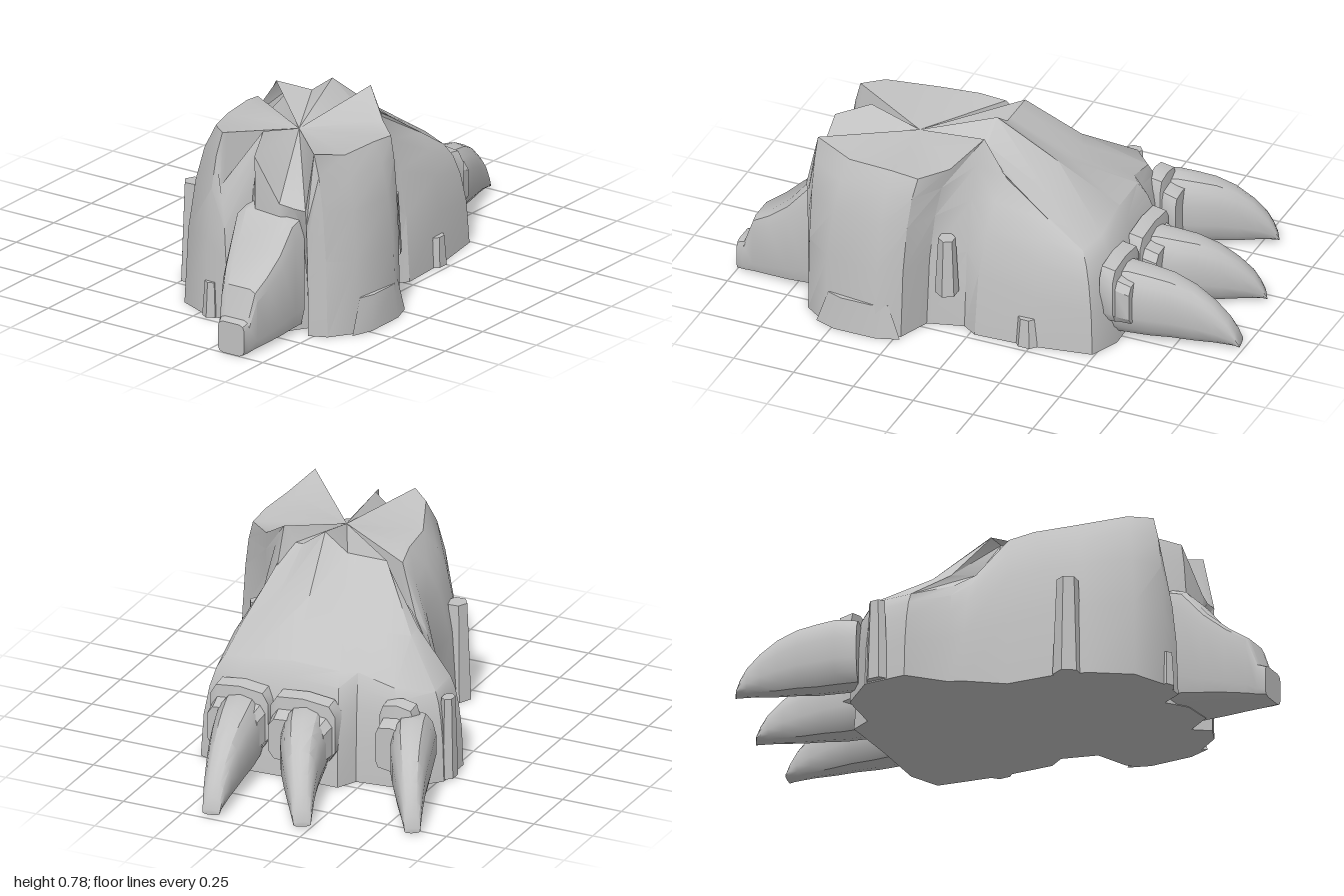
import * as THREE from 'three';
import { toCreasedNormals } from 'three/addons/utils/BufferGeometryUtils.js';

const V = (x, y, z) => new THREE.Vector3(x, y, z);

// Skin a list of equal-length rings and close both ends with fans
function loft(rings, endCentre, crease = 0.6) {
  const n = rings[0].length, pos = [];
  const tri = (...p) => p.forEach(v => pos.push(v.x, v.y, v.z));
  const middle = r => r.reduce((s, p) => s.add(p), V(0, 0, 0)).divideScalar(n);
  const first = rings[0], last = rings[rings.length - 1];
  const c0 = middle(first), c1 = endCentre || middle(last);
  for (let i = 0; i < n; i++) {
    const j = (i + 1) % n;
    for (let k = 0; k < rings.length - 1; k++) {
      const a = rings[k], b = rings[k + 1];
      tri(a[i], a[j], b[j]);
      tri(a[i], b[j], b[i]);
    }
    tri(first[j], first[i], c0);
    tri(last[i], last[j], c1);
  }
  const g = new THREE.BufferGeometry();
  g.setAttribute('position', new THREE.Float32BufferAttribute(pos, 3));
  return toCreasedNormals(g, crease);
}

// Ring of a section standing upright across the travel direction d
function section(c, d, halfWidth, bottom, top, sides = 12, power = 1) {
  const round = v => Math.sign(v) * Math.abs(v) ** power;
  return Array.from({ length: sides }, (_, i) => {
    const a = (i + 0.5) / sides * Math.PI * 2;
    const s = round(Math.cos(a)) * halfWidth;
    const y = (top + bottom) / 2 + round(Math.sin(a)) * (top - bottom) / 2;
    return V(c.x + d.z * s, y, c.z - d.x * s);
  });
}

export function createModel() {
  const foot = new THREE.Group();
  foot.name = 'clawedFoot';
  const hide = new THREE.MeshStandardMaterial({ color: 0xc2c2c2 });
  hide.name = 'grey';
  const add = (name, geo, parent = foot) => {
    const m = new THREE.Mesh(geo, hide);
    m.name = name;
    parent.add(m);
    return m;
  };

  // Sole outline (x, z), from the front round by the left side
  const sole = [
    [.03, .71], [.13, .71], [.17, .63], [.25, .69], [.37, .70], [.435, .60], [.48, .67], [.55, .64], [.62, .54],
    [.645, .32], [.60, .23], [.47, .18], [.43, .04], [.47, -.02], [.46, -.25], [.42, -.49],
    [.3, -.54], [.06, -.53], [-.18, -.53], [-.22, -.45], [-.40, -.43], [-.52, -.3], [-.52, -.13],
    [-.39, -.01], [-.37, .04], [-.265, .18], [-.25, .36], [-.21, .5], [-.11, .65],
  ];
  // Matching rim of the walls (x, y, z)
  const rim = [
    [.06, .73, .64], [.07, .52, .67], [.18, .73, .54], [.23, .68, .67], [.36, .52, .69], [.42, .51, .68],
    [.475, .51, .68], [.48, .73, .63], [.52, .69, .48], [.53, .69, .30], [.53, .68, .19], [.43, .69, .10],
    [.31, .78, .01], [.30, .62, -.08], [.34, .50, -.28], [.35, .41, -.42],
    [.24, .43, -.45], [.05, .45, -.44], [-.14, .44, -.43], [-.2, .43, -.39], [-.35, .39, -.38],
    [-.475, .36, -.28], [-.465, .365, -.13], [-.31, .44, -.03], [-.24, .50, .03],
    [-.14, .67, .12], [-.12, .69, .22], [-.10, .69, .38], [-.02, .72, .57],
  ];
  const centre = V(.2, .68, .33);
  // Steep walls: x and z move from sole to rim by t, y rises by u
  const wall = (t, u) => sole.map(([x, z], i) => {
    const [rx, ry, rz] = rim[i];
    return V(x + (rx - x) * t, ry * u, z + (rz - z) * t);
  });
  // Instep slopes up to a broken edge; elsewhere the rim turns inward
  const crest = rim.map(([x, y, z]) => z < 0
    ? V(x * .5 + .12, Math.abs(x) < .1 ? .78 : .71, .03)
    : V(x, y, z).lerp(centre, .12));
  const instep = rim.map(([x, y, z], i) => {
    const p = V(x, y, z).lerp(crest[i], .5);
    if (z < 0 && x < -.1) p.y -= .04;
    return p;
  });
  add('footBody', loft(
    [wall(0, 0), wall(.12, .42), wall(.36, .7), wall(.64, .88), wall(1, 1), instep, crest], centre));

  // Short spur below the heel
  const ahead = V(0, 0, 1);
  add('heelSpur', loft([
    [.30, .64, .145, .49], [.30, .70, .145, .47], [.312, .78, .13, .37], [.325, .86, .108, .3],
    [.342, .93, .083, .255], [.347, .97, .07, .14], [.352, 1, .062, .13],
  ].map(([x, z, w, h]) => section(V(x, 0, z), ahead, w, 0, h, 12, .36))));

  // Three hooked claws: distance along, width scale, underside, top
  const clawProfile = [
    [0, 1, .03, .31], [.2, 1, .025, .32], [.36, .94, .02, .305], [.52, .83, .02, .285],
    [.68, .69, .015, .245], [.82, .56, .015, .185], [.92, .46, .012, .125], [.97, .4, .01, .075], [1, .36, .01, .03],
  ];
  // Path points (x, z), half width, then middle and half width of the fold
  [
    ['outerClaw', [-.43, -.37], [-.5, -.58], [-.63, -.8], .085, -.39, -.43, .075],
    ['middleClaw', [-.03, -.46], [-.08, -.68], [-.225, -.93], .095, -.04, -.53, .14],
    ['innerClaw', [.24, -.47], [.19, -.7], [.135, -.985], .095, .23, -.53, .125],
  ].forEach(([name, a, b, c, w, foldX, foldZ, foldW]) => {
    const group = new THREE.Group();
    group.name = name;
    foot.add(group);
    const path = new THREE.QuadraticBezierCurve3(...[a, b, c].map(([x, z]) => V(x, 0, z)));
    add('claw', loft(clawProfile.map(([t, s, lo, hi]) =>
      section(path.getPoint(t), path.getTangent(t), w * s, lo, hi, 14, .8))), group);
    // Stepped fold of hide round the root of the claw
    add('clawFold', loft([[.04, 1, .36], [-.015, 1, .35], [-.02, .92, .3], [-.075, .86, .28]].map(([o, s, hi]) =>
      section(V(foldX, 0, foldZ + o), V(0, 0, -1), foldW * s, .1, hi, 10, .45))), group);
  });

  // Knobs and ledges on the walls: x, y, z, width, height, depth, turn
  [
    [.62, .07, .4, .06, .14, .3, 0], [.455, .06, -.23, .05, .12, .08, 0],
    [.46, .28, .1, .09, .24, .08, .5], [-.515, .17, -.25, .06, .33, .08, 0],
    [-.225, .2, .42, .1, .4, .1, .6], [.05, .07, .70, .06, .14, .06, 0],
  ].forEach(([x, y, z, w, h, d, turn]) => {
    const g = new THREE.CylinderGeometry(.42, .58, 1, 6).scale(w, h, d);
    const m = add('wallKnob', toCreasedNormals(g, .6));
    m.position.set(x, y, z);
    m.rotation.y = turn;
  });
  return foot;
}
